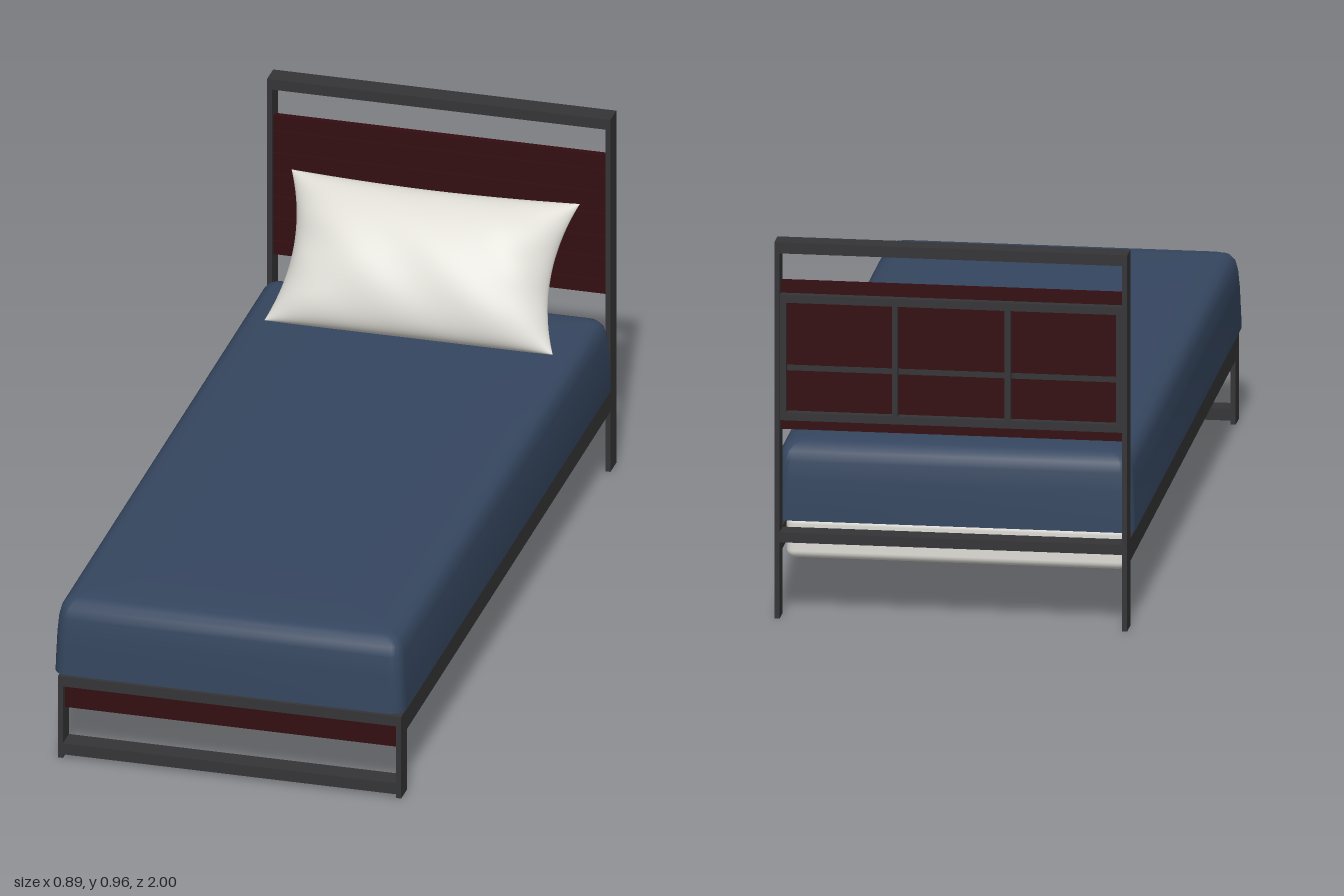
import * as THREE from 'three';
import { mergeGeometries, mergeVertices, toCreasedNormals } from 'three/addons/utils/BufferGeometryUtils.js';
import { RoundedBoxGeometry } from 'three/addons/geometries/RoundedBoxGeometry.js';

const mat = (name, color, side = THREE.FrontSide) => {
  const m = new THREE.MeshStandardMaterial({ color, side });
  m.name = name;
  return m;
};

export function createModel() {
  const metal = mat('dark metal', 0x353537);
  const wood = mat('mahogany', 0x330d11);
  const blue = mat('navy cover', 0x35465f);
  const linen = mat('off white linen', 0xdedcd5, THREE.DoubleSide);

  const model = new THREE.Group();
  model.name = 'bed';

  const group = (name) => {
    const g = new THREE.Group();
    g.name = name;
    model.add(g);
    return g;
  };
  const add = (parent, name, geometry, material) => {
    const m = new THREE.Mesh(geometry, material);
    m.name = name;
    parent.add(m);
    return m;
  };
  // box given by its low and high limits on each axis
  const box = (parent, name, material, [x0, x1], [y0, y1], [z0, z1]) => {
    const m = add(parent, name, new THREE.BoxGeometry(x1 - x0, y1 - y0, z1 - z0), material);
    m.position.set((x0 + x1) / 2, (y0 + y1) / 2, (z0 + z1) / 2);
    return m;
  };
  const mirrored = (parent, name, material, [x0, x1], y, z) => {
    box(parent, name + 'Left', material, [x0, x1], y, z);
    box(parent, name + 'Right', material, [-x1, -x0], y, z);
  };

  const inner = [-0.425, 0.425];
  const headZ = [-1, -0.945];
  const footZ = [0.925, 0.98];

  // Headboard: outer frame, slats and the lattice behind them
  const head = group('headboard');
  mirrored(head, 'headPost', metal, [0.425, 0.438], [0, 0.96], headZ);
  box(head, 'headTopRail', metal, inner, [0.932, 0.96], headZ);
  box(head, 'headLowerRail', metal, inner, [0.195, 0.22], headZ);
  const seams = [0.476, 0.515, 0.577, 0.635, 0.696, 0.755, 0.815, 0.857];
  for (let i = 0; i < seams.length - 1; i++) {
    box(head, 'headSlat' + (i + 1), wood, inner, [seams[i] + 0.0015, seams[i + 1] - 0.0015], [-0.974, -0.958]);
  }
  const backZ = [-0.994, -0.974];
  box(head, 'latticeTopRail', metal, inner, [0.805, 0.825], backZ);
  box(head, 'latticeBottomRail', metal, inner, [0.505, 0.525], backZ);
  mirrored(head, 'latticeStile', metal, [0.41, 0.425], [0.525, 0.805], backZ);
  mirrored(head, 'latticeDivider', metal, [0.133, 0.147], [0.525, 0.805], backZ);
  box(head, 'seamBacking', metal, inner, [0.628, 0.642], [-0.976, -0.973]);

  // Footboard
  const foot = group('footboard');
  mirrored(foot, 'footPost', metal, [0.425, 0.438], [0, 0.222], footZ);
  box(foot, 'footTopRail', metal, inner, [0.195, 0.222], footZ);
  box(foot, 'footBottomRail', metal, inner, [0.01, 0.04], footZ);
  box(foot, 'footPanel', wood, inner, [0.13, 0.195], [0.945, 0.96]);

  // Side rails
  mirrored(group('sideRails'), 'sideRail', metal, [0.425, 0.438], [0.165, 0.222], [-0.945, 0.925]);

  // Pale base under the mattress
  const base = add(model, 'mattressBase', new RoundedBoxGeometry(0.845, 0.108, 1.835, 3, 0.02), linen);
  base.position.set(0, 0.184, 0.005);

  add(model, 'mattressCover', coverGeometry(), blue);
  add(model, 'pillow', pillowGeometry(), linen);
  return model;
}

// Mattress cover: rounded rectangles stacked upward and drawn in over the top edge
function coverGeometry() {
  const corner = 8, n = 4 * (corner + 1);
  const rings = [
    [0.236, 0.4], [0.236, 0], [0.27, 0.001], [0.34, 0.004], [0.385, 0.008],
    [0.41, 0.014], [0.425, 0.026], [0.432, 0.045], [0.435, 0.09], [0.436, 0.2], [0.436, 0.4],
  ];
  const pos = [], index = [];
  for (const [y, inset] of rings) {
    const w = 0.447 - inset, d = 0.9725 - inset;
    const r = Math.max(0.035 - inset * 0.3, 0.01);
    for (let q = 0; q < 4; q++) {
      const sx = q === 0 || q === 3 ? 1 : -1, sz = q < 2 ? 1 : -1;
      for (let k = 0; k <= corner; k++) {
        const a = (q + k / corner) * Math.PI / 2;
        pos.push(sx * (w - r) + r * Math.cos(a), y, 0.0265 + sz * (d - r) + r * Math.sin(a));
      }
    }
  }
  for (let i = 0; i < rings.length - 1; i++) {
    for (let j = 0; j < n; j++) {
      const a = i * n + j, b = i * n + (j + 1) % n;
      index.push(a, a + n, b, b, a + n, b + n);
    }
  }
  // close the top and the underside
  for (let j = 1; j < n - 1; j++) {
    const t = (rings.length - 1) * n;
    index.push(t, t + j + 1, t + j, 0, j, j + 1);
  }
  const g = new THREE.BufferGeometry();
  g.setAttribute('position', new THREE.Float32BufferAttribute(pos, 3));
  g.setIndex(index);
  return toCreasedNormals(g, 1.0);
}

// Pillow: two bulging sheets joined at a seam, leaning on the headboard
function pillowGeometry() {
  const sheet = (side) => {
    const g = new THREE.PlaneGeometry(2, 2, 56, 40);
    const p = g.attributes.position;
    for (let i = 0; i < p.count; i++) {
      // gather samples toward the seam for a round edge
      const u = Math.sin(p.getX(i) * Math.PI / 2), v = Math.sin(p.getY(i) * Math.PI / 2);
      const x = 0.368 * u * (1 - 0.11 * (1 - v * v));
      const s = v * (1 - 0.06 * (1 - u * u) * Math.max(v, 0));
      const fill = Math.pow(1 - v * v, 0.5) * Math.pow(Math.max(1 - u ** 4, 0), 0.65);
      const creases = 0.006 * Math.sin(v * 11 + u * 3) * u ** 6 * (1 - v * v)
        + 0.0025 * Math.sin(u * 9 + v * 5) * fill;
      const t = side * ((side > 0 ? 0.1 : 0.12) * fill + creases * (1 - u ** 8));
      const y = 0.587 + 0.148 * s + 0.62 * t;
      const z = -0.792 - 0.125 * s + 0.79 * t;
      p.setXYZ(i, x, Math.max(y, 0.434), Math.max(z, -0.943));
    }
    if (side < 0) {
      const ix = g.index.array;
      for (let i = 0; i < ix.length; i += 3) [ix[i], ix[i + 1]] = [ix[i + 1], ix[i]];
    }
    g.deleteAttribute('normal');
    g.deleteAttribute('uv');
    return g;
  };
  const g = mergeVertices(mergeGeometries([sheet(1), sheet(-1)]), 1e-5);
  g.computeVertexNormals();
  return g;
}
